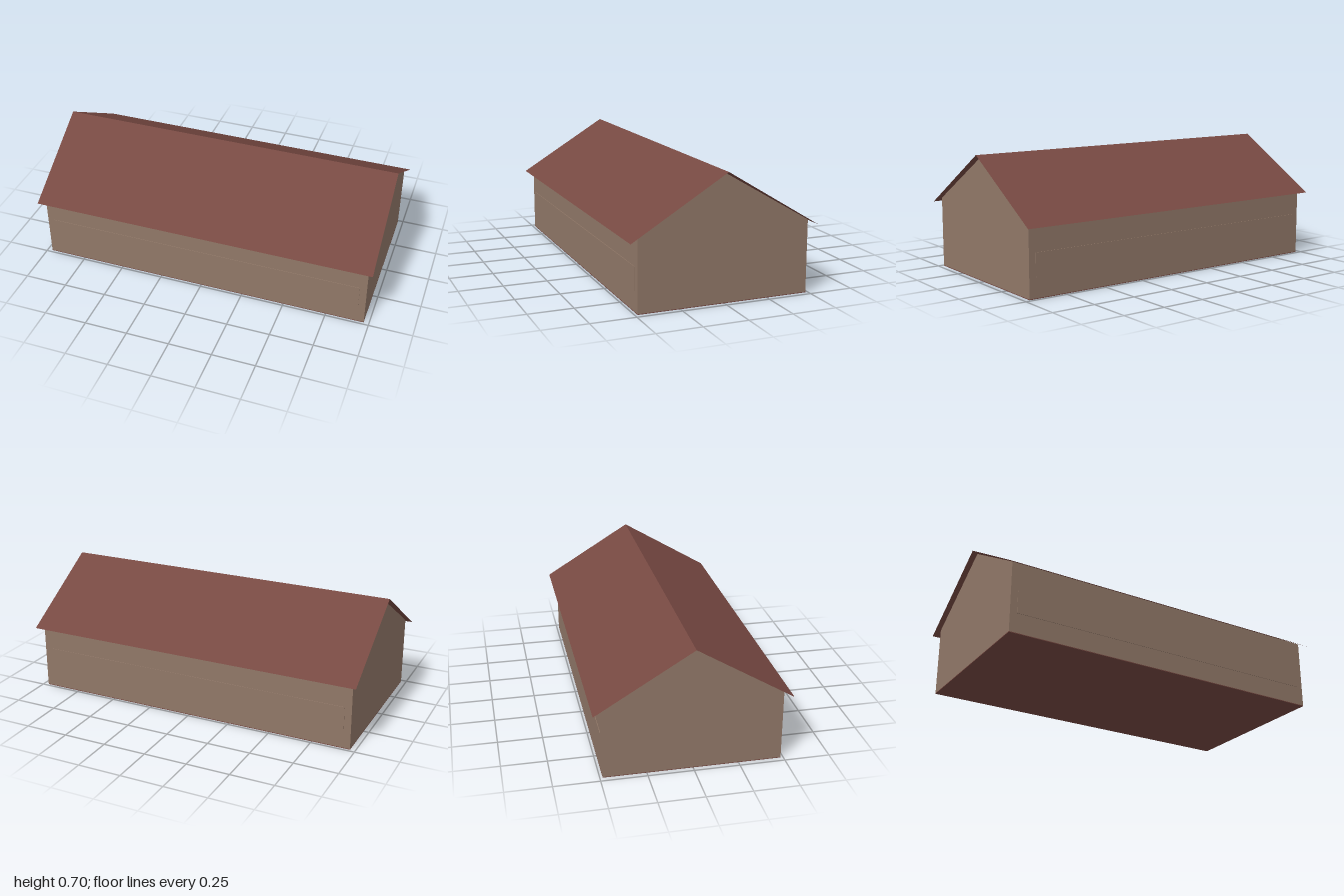
import * as THREE from 'three';

export function createModel() {
  const model = new THREE.Group();
  const material = (name, color, side = THREE.FrontSide) => {
    const m = new THREE.MeshStandardMaterial({ color, side });
    m.name = name;
    return m;
  };
  const wallPaint = material('brown wall', 0x917868);
  const roofPaint = material('red brown roof', 0x774942, THREE.DoubleSide);

  const add = (name, geometry, mat) => {
    const mesh = new THREE.Mesh(geometry, mat);
    mesh.name = name;
    model.add(mesh);
    return mesh;
  };

  const halfLength = 0.97, halfWidth = 0.485, floorThickness = 0.004;

  // Gabled hall: end profile extruded along x
  const profile = new THREE.Shape([
    [-halfWidth, floorThickness], [halfWidth, floorThickness],
    [halfWidth, 0.406], [0, 0.692], [-halfWidth, 0.406],
  ].map(([x, y]) => new THREE.Vector2(x, y)));
  const hall = new THREE.ExtrudeGeometry(profile, { depth: 2 * halfLength, bevelEnabled: false });
  hall.translate(0, 0, -halfLength).rotateY(Math.PI / 2);
  add('walls', hall, wallPaint);

  // Floor underneath
  const floor = new THREE.BoxGeometry(2 * halfLength, floorThickness, 2 * halfWidth);
  add('floor', floor, roofPaint).position.y = floorThickness / 2;

  // Thin roof sheets, and a long raised panel on each side wall
  const ridgeY = 0.704, eaveY = 0.381, eaveZ = 0.532;
  for (const [label, s] of [['front', 1], ['back', -1]]) {
    const slope = new THREE.PlaneGeometry(2, Math.hypot(ridgeY - eaveY, eaveZ));
    slope.rotateX(-Math.atan2(eaveZ, ridgeY - eaveY));
    if (s < 0) slope.rotateY(Math.PI);
    add(label + 'Roof', slope, roofPaint).position.set(0, (ridgeY + eaveY) / 2, s * eaveZ / 2);

    const panel = new THREE.BoxGeometry(1.86, 0.13, 0.006);
    add(label + 'Panel', panel, wallPaint).position.set(0, 0.18, s * halfWidth);
  }
  return model;
}
